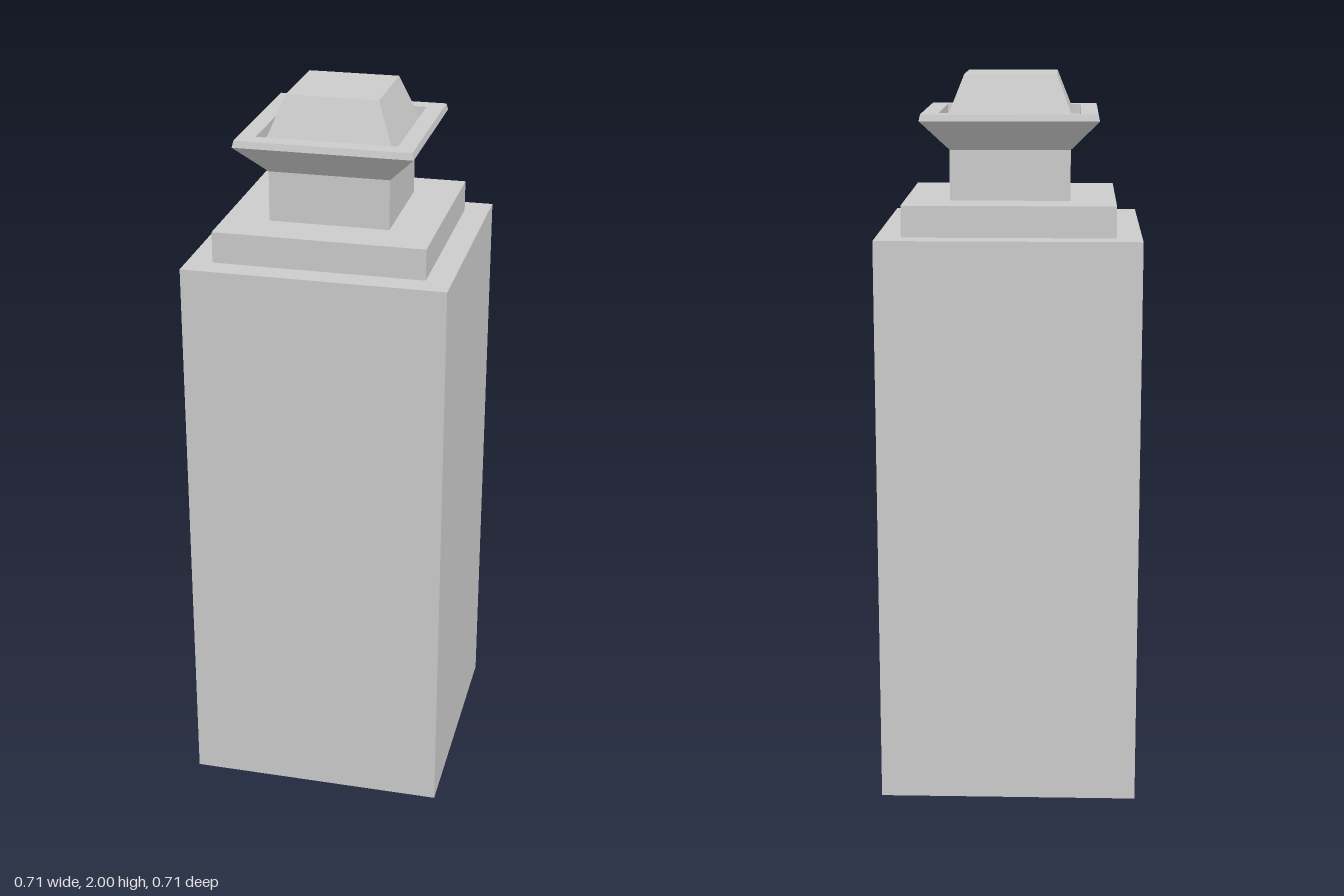
import * as THREE from 'three';

const material = new THREE.MeshStandardMaterial({ color: 0xcccccc, flatShading: true });

// Square block standing on y0, given its half width
function block(name, half, y0, y1) {
  const mesh = new THREE.Mesh(new THREE.BoxGeometry(2 * half, y1 - y0, 2 * half), material);
  mesh.position.y = (y0 + y1) / 2;
  mesh.name = name;
  return mesh;
}

// Square turned form from a [half width, height] profile, listed bottom to top
function squareProfile(name, profile) {
  const points = profile.map(([half, y]) => new THREE.Vector2(half * Math.SQRT2, y));
  const geometry = new THREE.LatheGeometry(points, 4, Math.PI / 4).toNonIndexed();
  geometry.computeVertexNormals();
  const mesh = new THREE.Mesh(geometry, material);
  mesh.name = name;
  return mesh;
}

export function createModel() {
  const model = new THREE.Group();
  model.name = 'pillar';

  // Main shaft, step and neck
  model.add(block('shaft', 0.357, 0, 1.578));
  model.add(block('step', 0.288, 1.578, 1.663));
  model.add(block('neck', 0.164, 1.663, 1.8));

  // Flared collar with a thin bevelled rim and a sunken floor
  model.add(squareProfile('collar', [
    [0.164, 1.8], [0.241, 1.882], [0.237, 1.9], [0.19, 1.9], [0.19, 1.87], [0, 1.87],
  ]));

  // Tapered cap rising from the collar floor
  model.add(squareProfile('cap', [[0.176, 1.87], [0.125, 2], [0, 2]]));

  return model;
}
